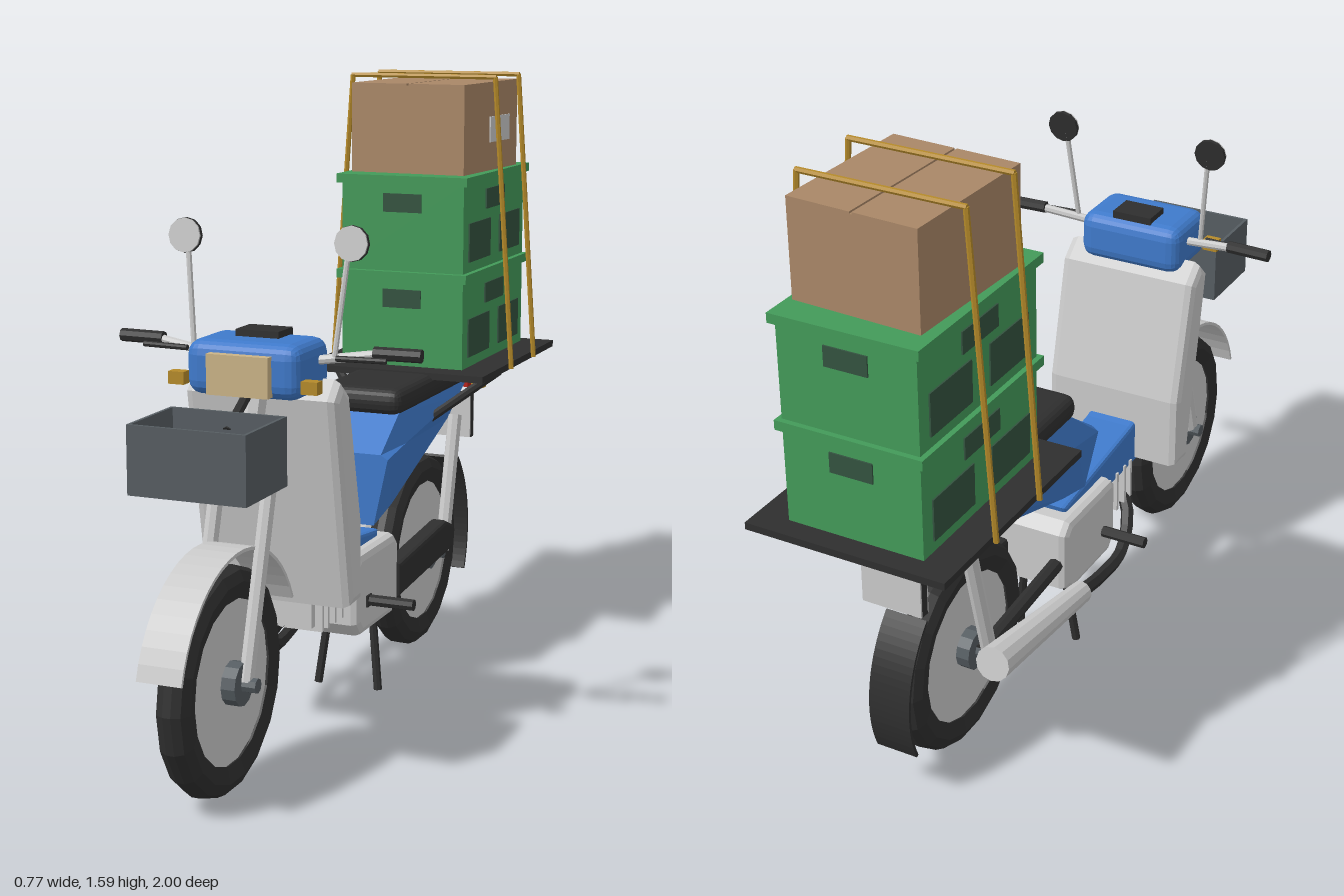
import * as THREE from 'three';
import { RoundedBoxGeometry } from 'three/addons/geometries/RoundedBoxGeometry.js';

const paint = (name, color, side = THREE.FrontSide) => {
  const m = new THREE.MeshStandardMaterial({ color, side });
  m.name = name;
  return m;
};

export function createModel() {
  const root = new THREE.Group();
  root.name = 'deliveryScooter';
  const blue = paint('body blue', 0x3f7acb), light = paint('light grey', 0xcacaca, THREE.DoubleSide);
  const black = paint('black', 0x2f2f2f, THREE.DoubleSide), slate = paint('slate', 0x565d62);
  const green = paint('crate green', 0x439a59), darkGreen = paint('slot green', 0x33523f);
  const brown = paint('cardboard', 0xa98767), amber = paint('amber', 0xb58a2a);
  const beige = paint('lamp beige', 0xcbb487), red = paint('tail red', 0xb8241c);

  const V = (x, y, z) => new THREE.Vector3(x, y, z);
  const add = (name, geo, mat, parent = root) => {
    const g = geo.index ? geo.toNonIndexed() : geo;
    g.computeVertexNormals();
    const m = new THREE.Mesh(g, mat);
    m.name = name;
    parent.add(m);
    return m;
  };
  const box = (name, mat, w, h, d, x, y, z, parent = root) => {
    const m = add(name, new THREE.BoxGeometry(w, h, d), mat, parent);
    m.position.set(x, y, z);
    return m;
  };
  const rounded = (name, mat, w, h, d, r, x, y, z) => {
    const m = add(name, new RoundedBoxGeometry(w, h, d, 2, r), mat);
    m.position.set(x, y, z);
    return m;
  };
  // Round bar from a to b
  const bar = (name, mat, a, b, r, r2 = r, sides = 8) => {
    const m = add(name, new THREE.CylinderGeometry(r2, r, a.distanceTo(b), sides), mat);
    m.position.copy(a).add(b).multiplyScalar(0.5);
    m.quaternion.setFromUnitVectors(V(0, 1, 0), b.clone().sub(a).normalize());
    return m;
  };
  // Side profile of [z, y] points given a width along x
  const slab = (name, mat, pts, width, bevel, x = 0) => {
    const geo = new THREE.ExtrudeGeometry(new THREE.Shape(pts.map(p => new THREE.Vector2(...p))), {
      depth: width - 2 * bevel, bevelEnabled: bevel > 0, bevelSize: bevel,
      bevelThickness: bevel, bevelOffset: -bevel, bevelSegments: 2,
    });
    geo.translate(0, 0, bevel - width / 2).rotateY(-Math.PI / 2).translate(x, 0, 0);
    return add(name, geo, mat);
  };
  // Skin over rings ordered from front to back
  const loft = (name, mat, rings) => {
    const p = [], n = rings[0].length, tri = (...v) => v.forEach(q => p.push(...q));
    for (let i = 0; i + 1 < rings.length; i++) for (let j = 0; j < n; j++) {
      const k = (j + 1) % n, A = rings[i], B = rings[i + 1];
      tri(A[j], B[j], A[k]);
      tri(A[k], B[j], B[k]);
    }
    const F = rings[0], L = rings[rings.length - 1];
    for (let j = 1; j + 1 < n; j++) {
      tri(F[0], F[j], F[j + 1]);
      tri(L[0], L[j + 1], L[j]);
    }
    const g = new THREE.BufferGeometry();
    g.setAttribute('position', new THREE.Float32BufferAttribute(p, 3));
    return add(name, g, mat);
  };

  // Wheels
  const tyre = [[0.195, -0.032], [0.235, -0.042], [0.26, -0.03], [0.27, -0.01], [0.27, 0.01],
    [0.26, 0.03], [0.235, 0.042], [0.195, 0.032]].map(p => new THREE.Vector2(...p));
  for (const [name, z] of [['frontWheel', 0.7], ['rearWheel', -0.53]]) {
    const w = new THREE.Group();
    w.name = name;
    add('tyre', new THREE.LatheGeometry(tyre, 18), black, w);
    add('wheelDisc', new THREE.CylinderGeometry(0.198, 0.198, 0.05, 18), light, w);
    add('hub', new THREE.CylinderGeometry(0.052, 0.052, 0.12, 12), slate, w);
    add('axle', new THREE.CylinderGeometry(0.018, 0.018, 0.19, 8), slate, w);
    w.rotation.z = Math.PI / 2;
    w.position.set(0, 0.275, z);
    root.add(w);
  }

  // Mudguards: bent strips round the wheels
  const guard = (name, mat, z, r, from, to) => {
    const shape = new THREE.Shape();
    shape.absarc(z, 0.275, r, from, to, false);
    shape.absarc(z, 0.275, r - 0.008, to, from, true);
    const g = new THREE.ExtrudeGeometry(shape, { depth: 0.11, bevelEnabled: false, curveSegments: 10 });
    add(name, g.translate(0, 0, -0.055).rotateY(-Math.PI / 2), mat);
  };
  guard('frontMudguard', light, 0.7, 0.315, 0.28, 2.72);
  guard('rearMudguard', black, -0.53, 0.318, 2.36, 3.56);

  // Leg shield, step-through frame and steering column
  slab('legShield', light, [[0.39, 0.38], [0.485, 0.9], [0.44, 0.945], [0.385, 0.9], [0.31, 0.58], [0.31, 0.385]], 0.39, 0.022);
  slab('stepThrough', blue, [[0.36, 0.37], [0.33, 0.5], [0.29, 0.49], [-0.1, 0.445], [-0.08, 0.39], [0.1, 0.37]], 0.14, 0.01);
  bar('steeringColumn', light, V(0, 0.76, 0.55), V(0, 0.97, 0.48), 0.03);
  box('forkClamp', light, 0.17, 0.04, 0.05, 0, 0.77, 0.555);

  // Rear body
  loft('rearBody', blue, [
    [-0.02, 0.475, 0.65, 0.662, 0.125], [-0.14, 0.505, 0.67, 0.748, 0.128],
    [-0.62, 0.64, 0.705, 0.748, 0.1], [-0.83, 0.695, 0.72, 0.745, 0.055],
  ].map(([z, b, m, t, w]) => [[-w * 0.7, b, z], [w * 0.7, b, z], [w, m, z], [w * 0.85, t, z], [-w * 0.85, t, z], [-w, m, z]]));
  rounded('seat', black, 0.24, 0.07, 0.54, 0.03, 0, 0.775, -0.39);

  // Handlebar cowl and lamps
  rounded('handlebarCowl', blue, 0.29, 0.13, 0.19, 0.035, 0, 0.975, 0.485);
  box('instrumentPanel', black, 0.11, 0.02, 0.08, 0, 1.046, 0.45);
  box('headlamp', beige, 0.155, 0.095, 0.025, 0, 0.967, 0.588);

  // Front basket, open at the top
  const bw = 0.29, bd = 0.215, bh = 0.16, bt = 0.008, bz = 0.752, by = 0.815;
  box('basketFloor', slate, bw, bt, bd, 0, by - bh / 2 + bt / 2, bz);
  for (const s of [-1, 1]) {
    box('basketSide', slate, bt, bh, bd, s * (bw - bt) / 2, by, bz);
    box('basketEnd', slate, bw, bh, bt, 0, by, bz + s * (bd - bt) / 2);
  }
  bar('basketBracket', black, V(0, 0.85, 0.65), V(0, 0.93, 0.52), 0.012);

  // Engine, cooling fins and exhaust
  slab('engine', light, [[0.13, 0.25], [0.13, 0.41], [0.11, 0.43], [-0.13, 0.43], [-0.16, 0.4], [-0.16, 0.24], [-0.12, 0.215], [0.1, 0.215]], 0.21, 0.02);
  box('engineBadge', black, 0.008, 0.03, 0.03, 0.106, 0.3, 0.06);
  box('engineCylinder', light, 0.11, 0.09, 0.19, 0, 0.335, 0.21);
  for (const z of [0.155, 0.2, 0.245, 0.28]) box('coolingFin', light, 0.15, 0.115, 0.01, 0, 0.335, z);
  const pipe = new THREE.CatmullRomCurve3([V(-0.03, 0.3, 0.3), V(-0.08, 0.25, 0.25), V(-0.11, 0.185, 0.16),
    V(-0.125, 0.195, 0), V(-0.14, 0.24, -0.16)]);
  add('exhaustPipe', new THREE.TubeGeometry(pipe, 12, 0.018, 6), black);
  bar('muffler', light, V(-0.14, 0.235, -0.14), V(-0.15, 0.32, -0.62), 0.03, 0.045, 12);

  // Drive side case and swing arm
  slab('chainCase', black, [[-0.14, 0.255], [-0.55, 0.285], [-0.56, 0.35], [-0.5, 0.375], [-0.14, 0.345]], 0.05, 0.01, 0.09);
  bar('swingArm', black, V(-0.075, 0.31, -0.14), V(-0.075, 0.28, -0.54), 0.02);

  // Parts mirrored left and right
  for (const s of [-1, 1]) {
    bar('forkLeg', light, V(s * 0.066, 0.28, 0.7), V(s * 0.066, 0.81, 0.54), 0.019);
    bar('handlebar', light, V(s * 0.13, 0.99, 0.46), V(s * 0.28, 1.01, 0.435), 0.011);
    bar('grip', black, V(s * 0.27, 1.012, 0.435), V(s * 0.385, 1.012, 0.43), 0.016);
    bar('brakeLever', black, V(s * 0.19, 1.0, 0.47), V(s * 0.31, 1.0, 0.46), 0.007);
    bar('mirrorStem', light, V(s * 0.18, 1.0, 0.455), V(s * 0.205, 1.25, 0.43), 0.007);
    bar('mirrorBack', black, V(s * 0.212, 1.26, 0.422), V(s * 0.212, 1.261, 0.432), 0.042, 0.042, 12);
    bar('mirrorFace', light, V(s * 0.212, 1.261, 0.432), V(s * 0.212, 1.2615, 0.437), 0.041, 0.041, 12);
    box('frontIndicator', amber, 0.04, 0.03, 0.03, s * 0.168, 0.947, 0.56);
    box('rearIndicator', amber, 0.035, 0.03, 0.03, s * 0.085, 0.705, -0.84);
    bar('rearShock', light, V(s * 0.09, 0.28, -0.53), V(s * 0.09, 0.65, -0.625), 0.02);
    bar('footPeg', black, V(s * 0.09, 0.3, 0.055), V(s * 0.228, 0.3, 0.055), 0.015);
    bar('standLeg', black, V(s * 0.06, 0.23, -0.08), V(s * 0.085, 0.02, -0.06), 0.011);
    bar('rackStrut', black, V(s * 0.245, 0.8, -0.54), V(s * 0.1, 0.685, -0.395), 0.013);
  }

  // Tail lamp and number plate
  box('tailLamp', red, 0.12, 0.045, 0.045, 0, 0.715, -0.835);
  box('plateHolder', black, 0.16, 0.13, 0.022, 0, 0.615, -0.8);
  for (const s of [-1, 1]) box('plateFace', light, 0.158, 0.128, 0.006, 0, 0.615, -0.8 + s * 0.013);

  // Cargo tray and stacked crates
  box('cargoTray', black, 0.515, 0.018, 0.63, 0, 0.805, -0.685);
  for (const y of [0.815, 1.075]) {
    const c = new THREE.Group();
    c.name = 'crate';
    c.position.set(0, y, -0.692);
    root.add(c);
    box('crateBody', green, 0.35, 0.24, 0.51, 0, 0.12, 0, c);
    box('crateRim', green, 0.375, 0.024, 0.535, 0, 0.247, 0, c);
    for (const s of [-1, 1]) {
      box('endSlot', darkGreen, 0.11, 0.05, 0.006, 0, 0.185, s * 0.256, c);
      box('sideSlot', darkGreen, 0.006, 0.055, 0.155, s * 0.176, 0.187, 0, c);
      for (const t of [-1, 1]) box('sideVent', darkGreen, 0.006, 0.105, 0.175, s * 0.176, 0.08, t * 0.127, c);
    }
  }

  // Cardboard box, set slightly askew, with top flaps meeting at a seam
  const carton = new THREE.Group();
  carton.name = 'carton';
  carton.position.set(0, 1.334, -0.692);
  carton.rotation.y = -0.045;
  root.add(carton);
  box('cartonBody', brown, 0.33, 0.236, 0.395, 0, 0.118, 0, carton);
  for (const s of [-1, 1]) box('cartonFlap', brown, 0.162, 0.005, 0.395, s * 0.084, 0.2385, 0, carton);
  box('cartonLabel', light, 0.005, 0.07, 0.145, 0.166, 0.112, -0.06, carton);

  // Tie-down straps
  for (const z of [-0.59, -0.79]) {
    for (const s of [-1, 1]) bar('strapSide', amber, V(s * 0.265, 0.8, z), V(s * 0.207, 1.592, z), 0.007, 0.007, 6);
    bar('strapTop', amber, V(-0.21, 1.592, z), V(0.21, 1.592, z), 0.007, 0.007, 6);
  }
  return root;
}
